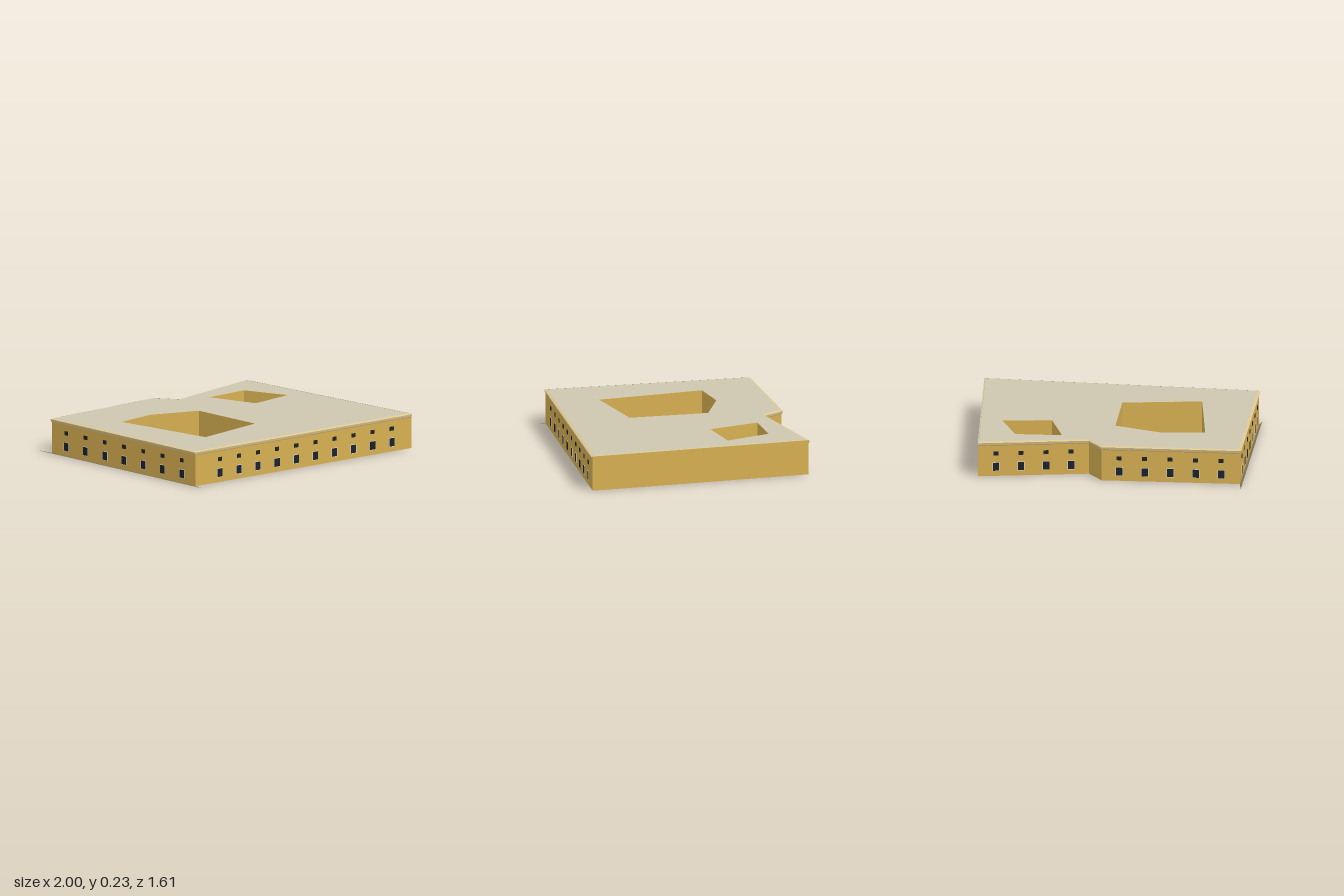
import * as THREE from 'three';

const H = 0.229;
// Footprint corners [x, z], from the back left corner round to the front left
const OUTLINE = [[-0.969, -0.624], [-0.068, -0.723], [0.041, -0.592], [0.74, -0.797], [0.998, 0.652], [-0.815, 0.732]];
const COURTS = [
  [[-0.665, -0.275], [-0.39, -0.335], [-0.06, -0.24], [0.003, 0.285], [-0.5, 0.42]],
  [[0.235, -0.525], [0.54, -0.56], [0.685, -0.275], [0.37, -0.2]],
];
// Per wall: window count, first and last position along the wall, moulding on or off
const WALLS = [
  { name: 'backLeftWall', count: 5, from: 0.127, to: 0.864, trim: 1 },
  { name: 'notchWall', count: 0, trim: 1 },
  { name: 'backRightWall', count: 4, from: 0.163, to: 0.837, trim: 1 },
  { name: 'blankSideWall', count: 0, trim: 0 },
  { name: 'frontWall', count: 10, from: 0.113, to: 0.909, trim: 1 },
  { name: 'leftWall', count: 7, from: 0.1, to: 0.907, trim: 1 },
];

function material(name, color, side = THREE.FrontSide) {
  const m = new THREE.MeshStandardMaterial({ color, side });
  m.name = name;
  return m;
}

function mesh(name, geometry, mat) {
  const m = new THREE.Mesh(geometry, mat);
  m.name = name;
  return m;
}

const toPoints = (list) => list.map(([x, z]) => new THREE.Vector2(x, -z));

// Courtyards run the opposite way round to the outline so their walls face inwards
function footprint() {
  const shape = new THREE.Shape(toPoints(OUTLINE));
  COURTS.forEach((c) => shape.holes.push(new THREE.Path(toPoints(c).reverse())));
  return shape;
}

// Start, end, unit direction and outward normal of a wall
function edge(i) {
  const n = OUTLINE.length;
  const a = OUTLINE[(i + n) % n], b = OUTLINE[(i + 1) % n];
  const length = Math.hypot(b[0] - a[0], b[1] - a[1]);
  return { b, length, normal: [(b[1] - a[1]) / length, (a[0] - b[0]) / length] };
}

// Outline pushed outwards with mitred corners; the blank wall only moves inwards
function ring(offset, y) {
  const n = OUTLINE.length;
  const push = (w) => (offset > 0 ? offset * w.trim : offset);
  return OUTLINE.map((p, i) => {
    const n1 = edge(i - 1).normal, n2 = edge(i).normal;
    const u = push(WALLS[(i + n - 1) % n]), v = push(WALLS[i]);
    const det = n1[0] * n2[1] - n1[1] * n2[0];
    return [p[0] + (u * n2[1] - v * n1[1]) / det, y, p[1] + (v * n1[0] - u * n2[0]) / det];
  });
}

// Band between two rings, on the chosen walls
function strip(low, high, onWall) {
  const pos = [];
  low.forEach((a0, i) => {
    if (!onWall(WALLS[i])) return;
    const j = (i + 1) % low.length;
    const b0 = low[j], a1 = high[i], b1 = high[j];
    pos.push(...b0, ...a0, ...a1, ...b0, ...a1, ...b1);
  });
  const g = new THREE.BufferGeometry();
  g.setAttribute('position', new THREE.Float32BufferAttribute(pos, 3));
  g.computeVertexNormals();
  return g;
}

export function createModel() {
  const model = new THREE.Group();
  model.name = 'courtyardBuilding';
  const wall = material('ochre plaster', 0xd6af52);
  const roof = material('grey roof', 0xcdc6ae);
  const trim = material('pale moulding', 0xe0c88e, THREE.DoubleSide);
  const kerbMat = material('dark kerb', 0x787056, THREE.DoubleSide);
  const glass = material('dark glass', 0x1c2129);
  const frameMat = material('window frame', 0xe6e2d6);

  // Walls with two open courtyards
  const body = new THREE.ExtrudeGeometry(footprint(), { depth: H, bevelEnabled: false });
  body.rotateX(-Math.PI / 2);
  model.add(mesh('walls', body, wall));

  // Flat roof
  const top = new THREE.ShapeGeometry(footprint());
  top.rotateX(-Math.PI / 2).translate(0, H + 0.001, 0);
  model.add(mesh('roof', top, roof));

  // Eaves moulding on the street walls, with a sloping coping all round
  const rings = [ring(0.001, 0.206), ring(0.004, 0.21), ring(0.008, 0.226), ring(-0.008, 0.232)];
  const street = (w) => w.trim;
  model.add(mesh('lowerMoulding', strip(rings[0], rings[1], street), trim));
  model.add(mesh('upperMoulding', strip(rings[1], rings[2], street), trim));
  model.add(mesh('coping', strip(rings[2], rings[3], () => true), trim));

  // Two rows of windows on the street walls
  const rows = [
    { name: 'lowerWindow', y: 0.0625, w: 0.042, h: 0.054 },
    { name: 'upperWindow', y: 0.153, w: 0.032, h: 0.026 },
  ];
  WALLS.forEach(({ name, count, from, to }, i) => {
    if (!count) return;
    const { b, length, normal } = edge(i);
    const group = new THREE.Group();
    group.name = name + 'Windows';
    group.position.set(b[0], 0, b[1]);
    group.rotation.y = Math.atan2(normal[0], normal[1]);
    for (let k = 0; k < count; k++) {
      const x = length * (from + ((to - from) * k) / (count - 1));
      rows.forEach((r, row) => {
        const pane = mesh(r.name, new THREE.BoxGeometry(r.w, r.h, 0.004), glass);
        pane.position.set(x, r.y, 0.001);
        group.add(pane);
        if (row) return;
        // Thin pale surround behind the lower panes
        const frame = mesh('windowFrame', new THREE.BoxGeometry(r.w + 0.006, r.h + 0.006, 0.002), frameMat);
        frame.position.set(x, r.y, 0.001);
        group.add(frame);
      });
    }
    model.add(group);
  });

  // Narrow ground strip along the left wall
  const kerb = new THREE.ShapeGeometry(new THREE.Shape(toPoints(
    [[-1, -0.76], [-0.969, -0.624], [-0.815, 0.732], [-0.82, 0.805]])));
  kerb.rotateX(-Math.PI / 2).translate(0, 0.001, 0);
  model.add(mesh('groundStrip', kerb, kerbMat));

  return model;
}
